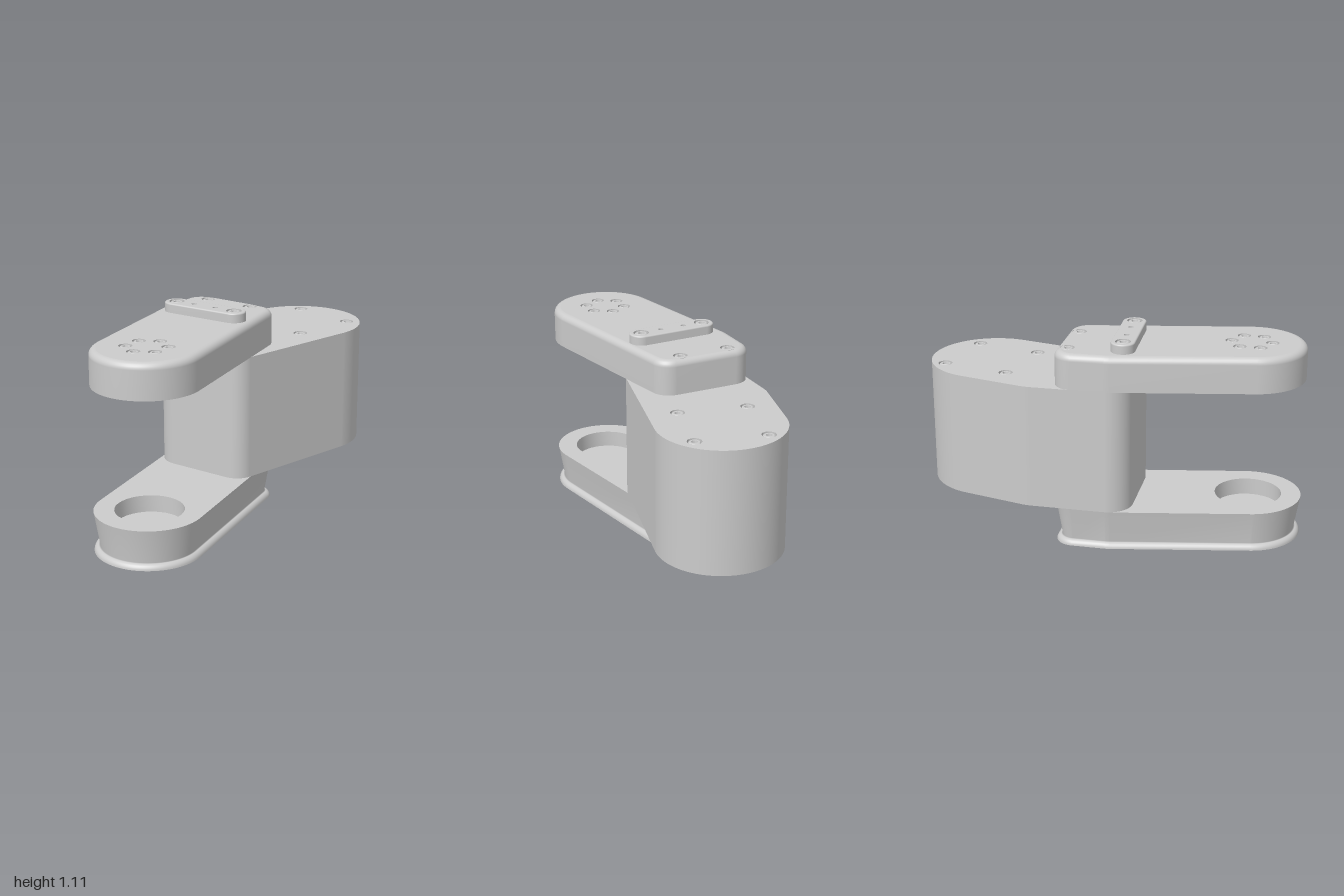
import * as THREE from 'three';
import { toCreasedNormals } from 'three/addons/utils/BufferGeometryUtils.js';

const material = new THREE.MeshStandardMaterial({ color: 0xcccccc });
const thin = new THREE.MeshStandardMaterial({ color: 0xcccccc, side: THREE.DoubleSide });
const SIDES = 160;

function add(parent, name, geometry, mat = material) {
  const mesh = new THREE.Mesh(geometry, mat);
  mesh.name = name;
  parent.add(mesh);
  return mesh;
}

// Outline in x,z: the hull around a set of circles [x, z, radius], shrunk by inset
function outline(circles, inset) {
  return Array.from({ length: SIDES }, (_, i) => {
    const a = (i / SIDES) * Math.PI * 2, c = Math.cos(a), s = Math.sin(a);
    const reach = (k) => k[0] * c + k[1] * s + k[2];
    const k = circles.reduce((best, q) => (reach(q) > reach(best) ? q : best));
    return [k[0] + (k[2] - inset) * c, k[1] + (k[2] - inset) * s];
  });
}

// Side wall through a profile of [inset, y], from bottom to top
function wall(circles, profile) {
  const pos = [], index = [];
  profile.forEach(([inset, y], j) => {
    outline(circles, inset).forEach(([x, z], i) => {
      pos.push(x, y, z);
      if (j === profile.length - 1) return;
      const a = j * SIDES + i, b = j * SIDES + ((i + 1) % SIDES);
      index.push(a, a + SIDES, b, b, a + SIDES, b + SIDES);
    });
  });
  const g = new THREE.BufferGeometry();
  g.setAttribute('position', new THREE.Float32BufferAttribute(pos, 3));
  g.setIndex(index);
  g.computeVertexNormals();
  return g;
}

// Flat end face with round openings; dir is 1 for up, -1 for down
function cap(circles, inset, y, dir, features) {
  const shape = new THREE.Shape(outline(circles, inset).map(([x, z]) => new THREE.Vector2(x, -dir * z)));
  for (const f of features) {
    shape.holes.push(new THREE.Path().absarc(f.x, -dir * f.z, f.r, 0, Math.PI * 2, true));
  }
  return new THREE.ShapeGeometry(shape, 16).rotateX(-dir * Math.PI / 2).translate(0, y, 0);
}

// Turned inserts that fill the openings: [radius, height] from the rim inwards
const screw = (x, z, r = 0.034) => ({
  name: 'screw', x, z, r,
  profile: [[r, 0], [r, -0.02], [r * 0.8, -0.02], [r * 0.8, -0.005], [r * 0.7, -0.002],
    [r * 0.42, -0.002], [r * 0.36, -0.016], [0, -0.016]],
});
const hole = (x, z, r, depth, name = 'hole') => ({
  name, x, z, r, profile: [[r, 0], [r, -depth], [0, -depth]],
});

// Solid plate with walls, both faces and the inserts
function plate(parent, name, circles, profile, top = [], bottom = []) {
  const group = new THREE.Group();
  group.name = name;
  parent.add(group);
  add(group, name + 'Wall', wall(circles, profile));
  const ends = [[profile[0], -1, bottom], [profile[profile.length - 1], 1, top]];
  for (const [[inset, y], dir, features] of ends) {
    add(group, name + (dir > 0 ? 'Top' : 'Bottom'), cap(circles, inset, y, dir, features));
    for (const f of features) {
      const points = f.profile.map((p) => new THREE.Vector2(...p));
      const insert = add(group, f.name, toCreasedNormals(new THREE.LatheGeometry(points, 32), 0.5), thin);
      insert.position.set(f.x, y, f.z);
      if (dir < 0) insert.rotation.x = Math.PI;
    }
  }
  return group;
}

// Quarter-round edge from the wall up to the top face
const roundTop = (y, r) => Array.from({ length: 7 }, (_, i) => {
  const a = (i / 6) * Math.PI / 2;
  return [r * (1 - Math.cos(a)), y - r + r * Math.sin(a)];
});
const roundBottom = (y, r) => roundTop(0, r).map(([inset, h]) => [inset, y - h]).reverse();

export function createModel() {
  const model = new THREE.Group();
  model.name = 'jointHousing';

  const armOutline = [[0.04, 0.72, 0.28], [-0.17, 0.02, 0.2], [-0.27, -0.15, 0.1], [0.066, -0.15, 0.1]];
  const bodyOutline = [[0.04, -0.67, 0.33], [-0.12, -0.36, 0.25], [-0.24, 0.02, 0.13], [0.107, 0.05, 0.1]];

  // Tall middle body with screws on both faces
  plate(model, 'body', bodyOutline, [[0, 0.2], [0, 0.86]],
    [[-0.1, -0.895], [0.255, -0.81], [-0.18, -0.54], [0.17, -0.46]].map((p) => screw(...p, 0.037)),
    [[0.28, -0.56], [-0.24, -0.76], [0.21, -0.12], [-0.31, -0.33]].map((p) => screw(...p, 0.022)));

  // Output boss and its collar under the body
  const collar = add(model, 'bossCollar', new THREE.CylinderGeometry(0.165, 0.165, 0.008, 64));
  collar.position.set(0.04, 0.198, -0.67);
  const boss = add(model, 'outputBoss', new THREE.CylinderGeometry(0.13, 0.13, 0.06, 64));
  boss.position.set(0.04, 0.175, -0.67);

  // Upper arm: ring of six screws at the round end, two at the square end
  const ring = Array.from({ length: 6 }, (_, i) => {
    const a = Math.PI / 6 + i * Math.PI / 3;
    return [0.038 + 0.105 * Math.cos(a), 0.715 + 0.105 * Math.sin(a)];
  });
  plate(model, 'upperArm', armOutline, [[0, 0.86], ...roundTop(1.045, 0.035)],
    [...ring.map((p) => screw(...p)), screw(-0.25, -0.19, 0.037), screw(0.02, -0.19, 0.037)],
    ring.map((p) => hole(...p, 0.016, 0.06)));

  // Raised bar across the upper arm
  plate(model, 'crossBar', [[-0.247, 0.097, 0.062], [0.11, 0.086, 0.062]],
    [[0, 1.045], ...roundTop(1.095, 0.008)],
    [screw(-0.247, 0.097, 0.04), screw(0.11, 0.086, 0.04),
      hole(-0.137, 0.093, 0.014, 0.03), hole(-0.005, 0.089, 0.014, 0.03)]);

  // Lower arm with a blind bearing seat
  plate(model, 'lowerArm', armOutline, [...roundBottom(-0.02, 0.03).map(([i, y]) => [i, -y]).reverse()
    .sort((a, b) => a[1] - b[1]), [0, 0.2]].map(([i, y]) => [i, y]),
    [hole(0.04, 0.72, 0.177, 0.09, 'bearingSeat')]);

  // Domed screw heads under the lower arm
  const head = [[0, 0], [0.012, 0], [0.018, 0.004], [0.021, 0.012], [0.021, 0.022]];
  const headGeometry = new THREE.LatheGeometry(head.map((p) => new THREE.Vector2(...p)), 24);
  const feet = [[-0.295, -0.09], [0.08, -0.11], [-0.245, 0.32], [0.16, 0.25], [-0.16, 0.755], [0.24, 0.68], [0.08, 0.92]];
  for (const [x, z] of feet) add(model, 'footScrew', headGeometry, thin).position.set(x, 0, z);

  return model;
}
